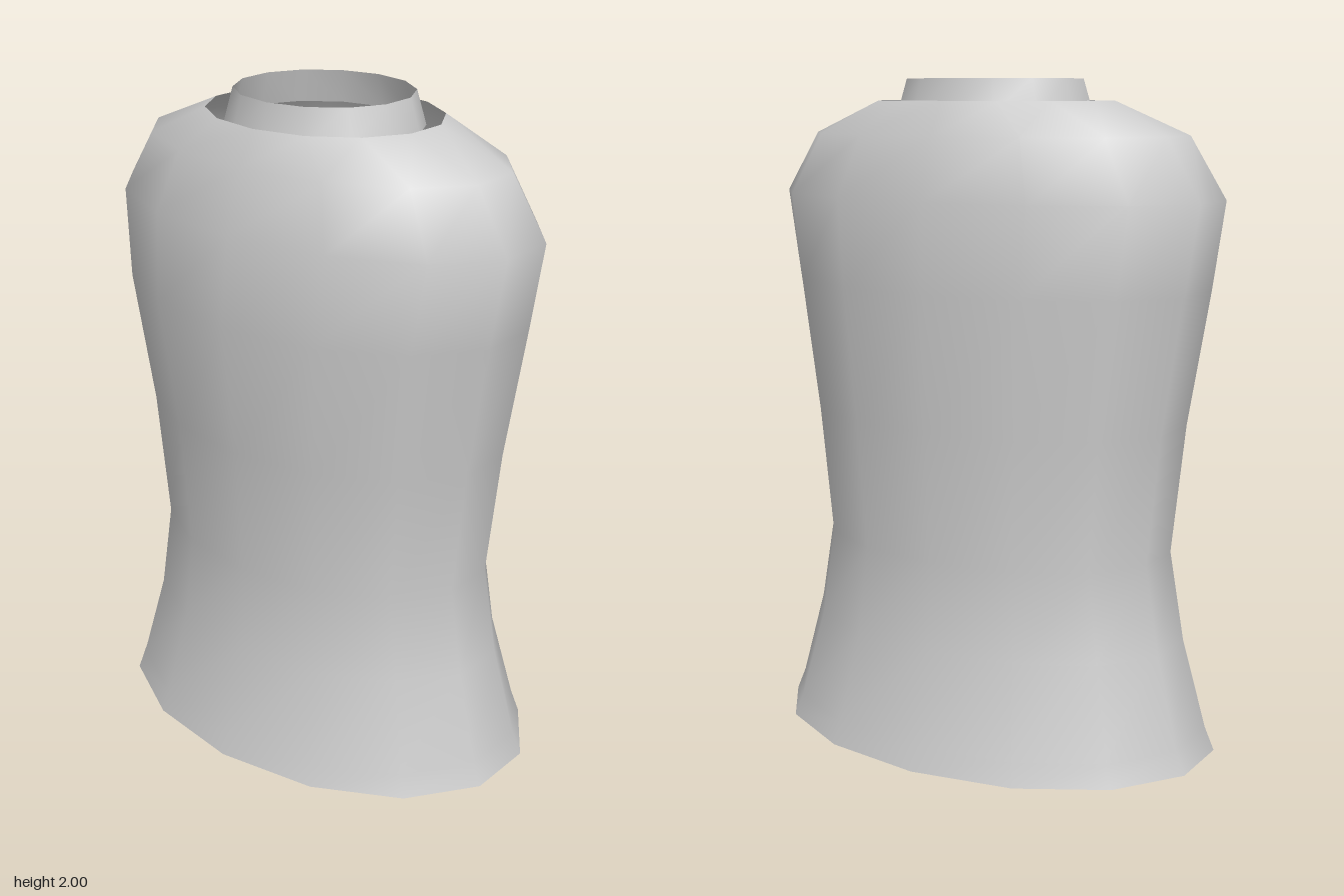
import * as THREE from 'three';

const SIDES = 14;

// Skin a stack of oval rings: [height, half width, front depth, back depth]
function loft(rings) {
  const pos = [], index = [];
  for (const [y, rx, front, back] of rings) {
    for (let i = 0; i < SIDES; i++) {
      const a = (i / SIDES) * Math.PI * 2, c = Math.cos(a);
      pos.push(rx * Math.sin(a), y, c * (c > 0 ? front : back));
    }
  }
  for (let r = 0; r < rings.length - 1; r++) {
    for (let i = 0; i < SIDES; i++) {
      const j = (i + 1) % SIDES;
      const a = r * SIDES + i, b = r * SIDES + j;
      index.push(a, b, b + SIDES, a, b + SIDES, a + SIDES);
    }
  }
  const g = new THREE.BufferGeometry();
  g.setAttribute('position', new THREE.Float32BufferAttribute(pos, 3));
  g.setIndex(index);
  g.computeVertexNormals();
  return g;
}

export function createModel() {
  const group = new THREE.Group();
  group.name = 'torso';
  const grey = new THREE.MeshStandardMaterial({ color: 0xcccccc, side: THREE.DoubleSide });
  grey.name = 'light grey';

  const add = (name, rings) => {
    const mesh = new THREE.Mesh(loft(rings), grey);
    mesh.name = name;
    group.add(mesh);
  };

  // Body from flared hem, past the waist and chest, to the open neck
  add('body', [
    [0, 0.723, 0.49, 0.49],
    [0.07, 0.693, 0.472, 0.472],
    [0.34, 0.62, 0.402, 0.402],
    [0.61, 0.573, 0.383, 0.38],
    [1.0, 0.615, 0.402, 0.4],
    [1.4, 0.681, 0.447, 0.416],
    [1.66, 0.723, 0.415, 0.412],
    [1.84, 0.611, 0.36, 0.357],
    [1.937, 0.371, 0.303, 0.303],
  ]);

  // Lining folded up inside the hem
  add('hemLining', [
    [0.27, 0.555, 0.375, 0.375],
    [0.125, 0.57, 0.387, 0.387],
    [0, 0.723, 0.49, 0.49],
  ]);

  // Tapered collar standing free in the neck opening
  add('collar', [
    [1.9, 0.303, 0.268, 0.27],
    [2, 0.272, 0.246, 0.246],
  ]);

  return group;
}
